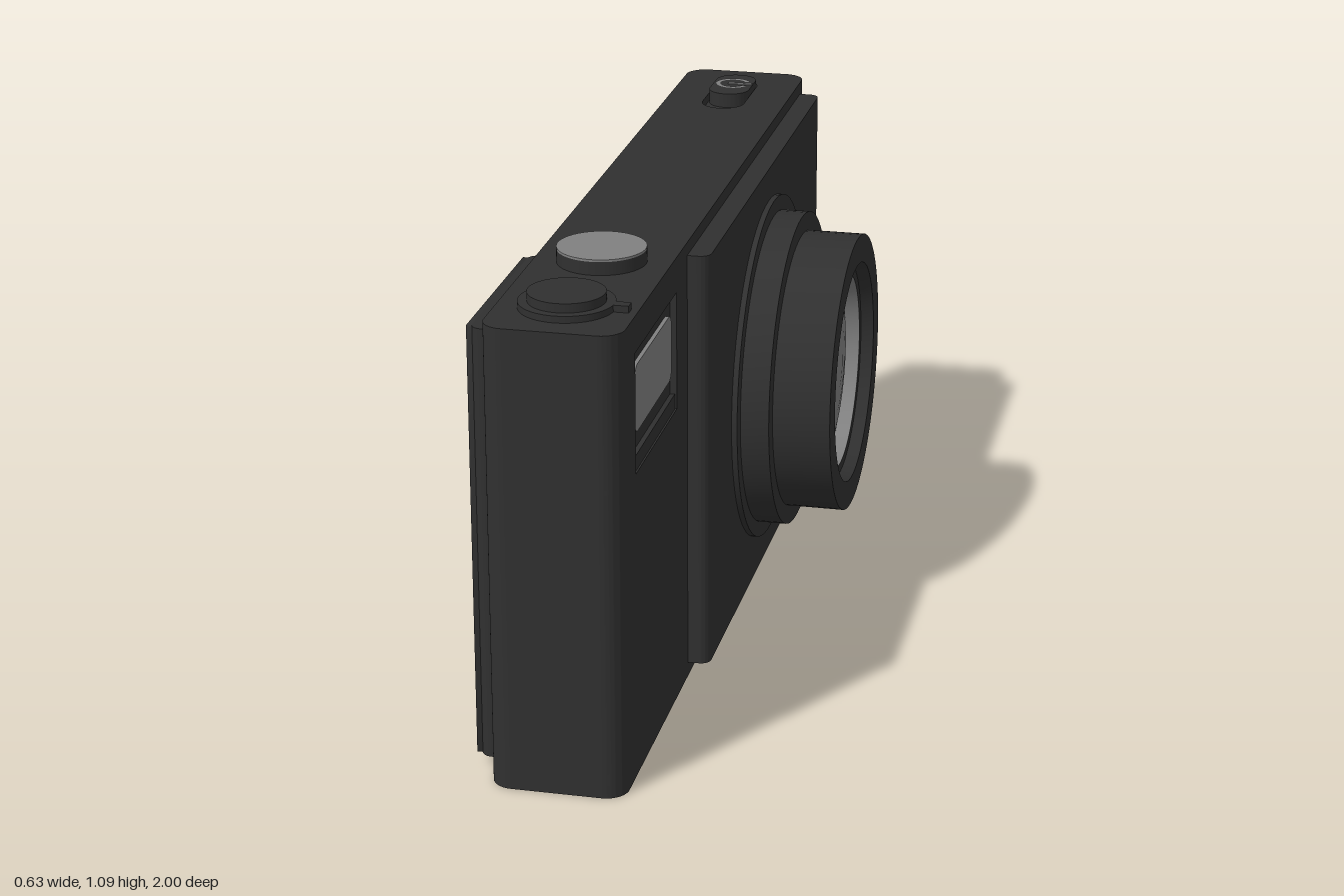
import * as THREE from 'three';
import { toCreasedNormals } from 'three/addons/utils/BufferGeometryUtils.js';

export function createModel() {
  const root = new THREE.Group();
  root.name = 'compactCamera';
  const material = (name, color) => {
    const m = new THREE.MeshStandardMaterial({ color });
    m.name = name;
    return m;
  };
  const black = material('black casing', 0x303030);
  const grey = material('grey glass and metal', 0x808080);

  const add = (name, geo, mat = black, parent = root) => {
    const mesh = new THREE.Mesh(geo, mat);
    mesh.name = name;
    parent.add(mesh);
    return mesh;
  };

  // Rounded rectangle; the second axis may be z or y
  const rounded = (cx, cy, w, h, r, path = new THREE.Shape()) => {
    const a = cx - w / 2, b = cx + w / 2, c = cy - h / 2, d = cy + h / 2;
    path.moveTo(a + r, c).lineTo(b - r, c);
    path.absarc(b - r, c + r, r, -Math.PI / 2, 0, false);
    path.absarc(b - r, d - r, r, 0, Math.PI / 2, false);
    path.absarc(a + r, d - r, r, Math.PI / 2, Math.PI, false);
    path.absarc(a + r, c + r, r, Math.PI, Math.PI * 1.5, false);
    return path;
  };
  const extrude = (shape, depth) =>
    toCreasedNormals(new THREE.ExtrudeGeometry(shape, { depth, bevelEnabled: false, curveSegments: 12 }), 0.6);
  // Footprint drawn in (x, -z), raised from y0 to y1
  const upright = (shape, y0, y1) => extrude(shape, y1 - y0).rotateX(-Math.PI / 2).translate(0, y0, 0);
  // Outline drawn in (-z, y), spanning x0 to x1
  const sideways = (shape, x0, x1) => extrude(shape, x1 - x0).rotateY(Math.PI / 2).translate(x0, 0, 0);
  const disc = (r, y0, y1, x, z) =>
    new THREE.CylinderGeometry(r, r, y1 - y0, 48).translate(x, (y0 + y1) / 2, z);

  // Body in layers, with a flash recess, a switch slot and a tripod socket
  const footprint = (notch) => {
    const s = new THREE.Shape();
    s.moveTo(-0.2, -1).lineTo(0, -1);
    s.absarc(0, -0.95, 0.05, -Math.PI / 2, 0, false);
    if (notch) s.lineTo(0.05, -0.87).lineTo(0.035, -0.87).lineTo(0.035, -0.485).lineTo(0.05, -0.485);
    s.absarc(0, 0.95, 0.05, 0, Math.PI / 2, false);
    s.absarc(-0.2, 0.95, 0.05, Math.PI / 2, Math.PI, false);
    s.absarc(-0.2, -0.95, 0.05, Math.PI, Math.PI * 1.5, false);
    return s;
  };
  const body = new THREE.Group();
  body.name = 'body';
  root.add(body);
  const base = footprint(false);
  base.holes.push(new THREE.Path().absarc(-0.1, 0, 0.06, 0, Math.PI * 2, true));
  const lid = footprint(false);
  lid.holes.push(rounded(-0.103, 0.79, 0.105, 0.26, 0.052, new THREE.Path()));
  add('bodyBase', upright(base, 0, 0.03), black, body);
  add('bodyLower', upright(footprint(false), 0.03, 0.7), black, body);
  add('bodyFlashBand', upright(footprint(true), 0.7, 0.97), black, body);
  add('bodyUpper', upright(footprint(false), 0.97, 1.03), black, body);
  add('bodyLid', upright(lid, 1.03, 1.05), black, body);

  // Flash window and its lower ledge
  add('flashWindow', sideways(rounded(-0.68, 0.855, 0.34, 0.15, 0.025), 0.035, 0.044), grey);
  add('flashLedge', sideways(rounded(-0.6775, 0.7175, 0.385, 0.035, 0.004), 0.035, 0.046));

  // Raised front panel carrying the lens
  add('frontPanel', upright(rounded(0.05, 0.275, 0.1, 1.31, 0.025), 0.035, 1.02));

  // Lens barrel, turned about the x axis
  const lathe = (pts) => toCreasedNormals(
    new THREE.LatheGeometry(pts.map(([r, h]) => new THREE.Vector2(r, h)), 72), 0.4)
    .rotateZ(-Math.PI / 2).translate(0, 0.527, -0.275);
  add('lensBarrel', lathe([
    [0.415, 0.09], [0.415, 0.113], [0.378, 0.113], [0.378, 0.18], [0.333, 0.18],
    [0.333, 0.315], [0.265, 0.315], [0.258, 0.285], [0.235, 0.285],
  ]));
  add('lensInnerRing', lathe([[0.235, 0.285], [0.235, 0.25]]), grey);
  add('lensGlass', lathe([[0.235, 0.25], [0.18, 0.261], [0.12, 0.269], [0.06, 0.274], [0, 0.275]]), grey);

  // Shutter button with a bright cap
  add('shutterButton', disc(0.098, 1.04, 1.08, -0.102, 0.54));
  add('shutterCap', disc(0.098, 1.08, 1.085, -0.102, 0.54), grey);

  // Mode dial with its pointer
  add('dialBase', disc(0.103, 1.04, 1.065, -0.102, 0.84));
  add('dialTop', disc(0.083, 1.06, 1.085, -0.102, 0.84));
  add('dialPointer', new THREE.BoxGeometry(0.05, 0.02, 0.025).translate(0.008, 1.055, 0.84));

  // Power slider marked with an open ring and a bar
  add('powerSlider', upright(rounded(-0.103, 0.825, 0.1, 0.18, 0.049), 1.03, 1.065));
  add('powerRing', new THREE.RingGeometry(0.031, 0.044, 32, 1, 0.45, Math.PI * 2 - 0.9)
    .rotateX(-Math.PI / 2).translate(-0.103, 1.067, -0.83), grey);
  add('powerBar', new THREE.BoxGeometry(0.06, 0.003, 0.012).translate(-0.085, 1.066, -0.83), grey);

  // Rear control panel with two recessed slots
  add('rearPanel', upright(rounded(-0.235, -0.69, 0.105, 0.48, 0.025), 0.035, 1.02));
  const face = rounded(-0.69, 0.5275, 0.45, 0.985, 0.004);
  const slots = [0.56, 0.78];
  for (const z of slots) face.holes.push(rounded(-z, 0.83, 0.12, 0.26, 0.015, new THREE.Path()));
  add('rearFace', sideways(face, -0.298, -0.28));
  for (const z of slots) {
    add('slotButton', sideways(rounded(-z, 0.893, 0.11, 0.085, 0.012), -0.308, -0.28));
  }

  // Rear control wheel and the four small buttons around it
  const rearDisc = (r, x, y, z) =>
    new THREE.CylinderGeometry(r, r, 0.03, 40).rotateZ(Math.PI / 2).translate(x + 0.015, y, z);
  const ring = new THREE.Shape().absarc(-0.685, 0.383, 0.148, 0, Math.PI * 2, false);
  ring.holes.push(new THREE.Path().absarc(-0.685, 0.383, 0.068, 0, Math.PI * 2, true));
  add('controlWheel', sideways(ring, -0.315, -0.285));
  add('wheelCentre', rearDisc(0.058, -0.311, 0.383, 0.685));
  for (const z of [0.545, 0.825]) {
    for (const y of [0.195, 0.575]) add('smallButton', rearDisc(0.028, -0.307, y, z));
  }
  return root;
}
